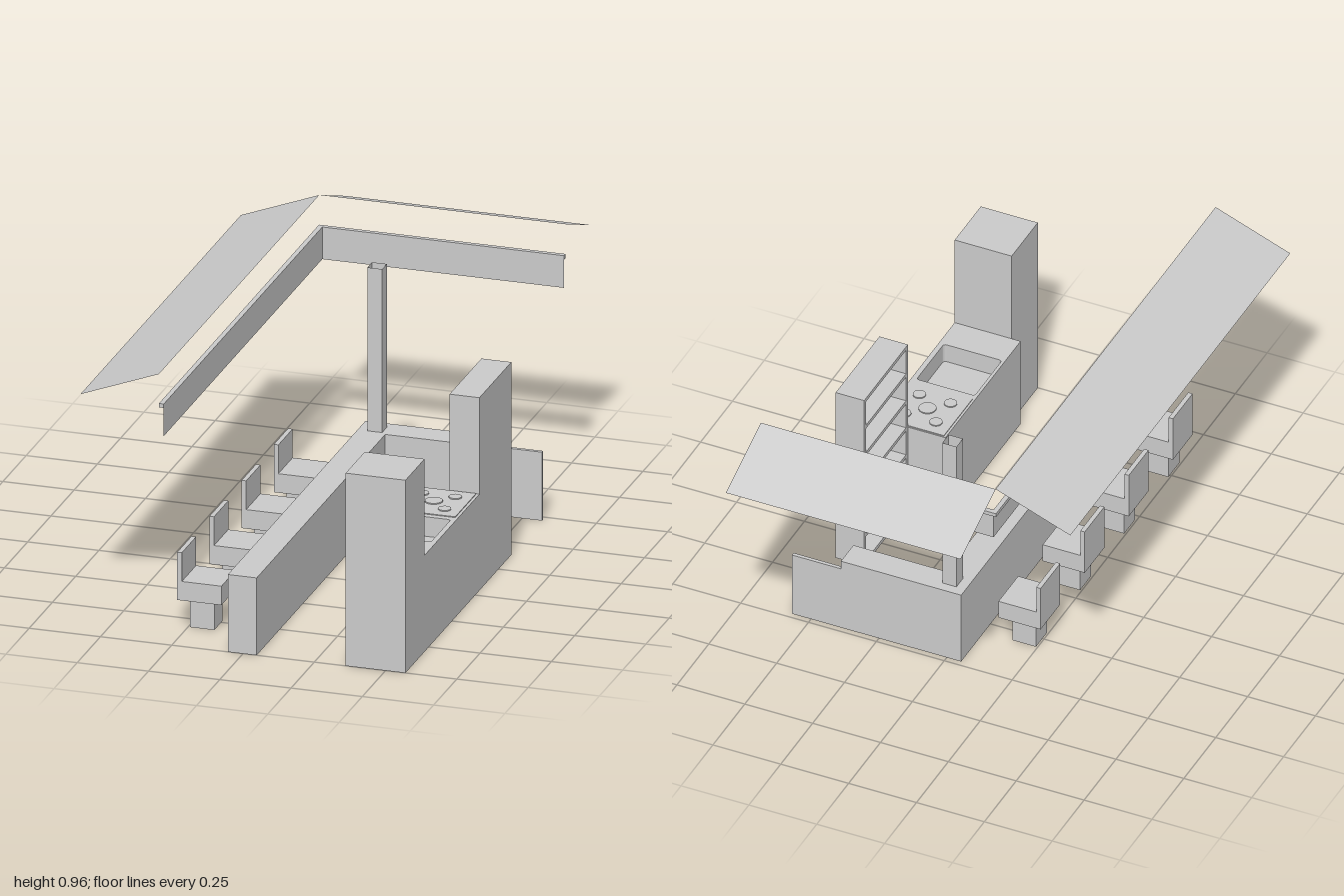
import * as THREE from 'three';

const grey = new THREE.MeshStandardMaterial({ color: 0xcccccc, flatShading: true });
const sheet = new THREE.MeshStandardMaterial({ color: 0xcccccc, flatShading: true, side: THREE.DoubleSide });

// Box given by its low and high limits on each axis
function box(parent, name, [x0, x1], [y0, y1], [z0, z1]) {
  const m = new THREE.Mesh(new THREE.BoxGeometry(x1 - x0, y1 - y0, z1 - z0), grey);
  m.position.set((x0 + x1) / 2, (y0 + y1) / 2, (z0 + z1) / 2);
  m.name = name;
  parent.add(m);
  return m;
}

// Square tube without end caps
function openTube(parent, name, x, z, w, d, y0, y1) {
  const g = new THREE.CylinderGeometry(Math.SQRT1_2, Math.SQRT1_2, y1 - y0, 4, 1, true);
  g.rotateY(Math.PI / 4).scale(w, 1, d);
  const m = new THREE.Mesh(g, sheet);
  m.position.set(x, (y0 + y1) / 2, z);
  m.name = name;
  parent.add(m);
}

// Thin four-cornered panel
function quad(parent, name, a, b, c, d) {
  const g = new THREE.BufferGeometry();
  g.setAttribute('position', new THREE.Float32BufferAttribute([...a, ...b, ...c, ...d], 3));
  g.setIndex([0, 1, 2, 0, 2, 3]);
  g.computeVertexNormals();
  const m = new THREE.Mesh(g, sheet);
  m.name = name;
  parent.add(m);
}

function roundedRect(path, x0, x1, y0, y1, r) {
  path.moveTo(x0 + r, y0);
  path.lineTo(x1 - r, y0).quadraticCurveTo(x1, y0, x1, y0 + r);
  path.lineTo(x1, y1 - r).quadraticCurveTo(x1, y1, x1 - r, y1);
  path.lineTo(x0 + r, y1).quadraticCurveTo(x0, y1, x0, y1 - r);
  path.lineTo(x0, y0 + r).quadraticCurveTo(x0, y0, x0 + r, y0);
  return path;
}

function addCanopy(root) {
  const canopy = new THREE.Group();
  canopy.name = 'canopy';
  root.add(canopy);
  const lo = 0.86, hi = 0.965;
  // Sloping roof panels, lower on the outside
  quad(canopy, 'sideRoof', [-0.57, lo, -0.725], [-0.57, lo, 1], [-0.295, hi, 1], [-0.295, hi, -0.725]);
  quad(canopy, 'backRoof', [-0.295, lo, -1], [-0.295, hi, -0.725], [0.57, hi, -0.725], [0.57, lo, -1]);
  // Fascia sheets with a narrow outer lip along the top
  quad(canopy, 'sideFascia', [-0.278, 0.745, 1], [-0.278, 0.745, -0.705], [-0.278, lo, -0.705], [-0.278, lo, 1]);
  quad(canopy, 'backFascia', [-0.278, 0.745, -0.705], [0.57, 0.745, -0.705], [0.57, lo, -0.705], [-0.278, lo, -0.705]);
  box(canopy, 'sideLip', [-0.295, -0.278], [0.846, lo], [-0.722, 1]);
  box(canopy, 'backLip', [-0.278, 0.57], [0.846, lo], [-0.722, -0.705]);
}

function addBar(root) {
  const bar = new THREE.Group();
  bar.name = 'bar';
  root.add(bar);
  box(bar, 'barCounter', [-0.053, 0.048], [0, 0.277], [-0.48, 1]);
  box(bar, 'barReturn', [0.048, 0.39], [0, 0.277], [-0.48, -0.382]);
  box(bar, 'gate', [0.39, 0.57], [0, 0.245], [-0.48, -0.467]);
  openTube(bar, 'post', 0.007, -0.42, 0.052, 0.05, 0.277, 0.862);
}

function addStool(root, z) {
  const stool = new THREE.Group();
  stool.name = 'stool';
  stool.position.z = z;
  root.add(stool);
  openTube(stool, 'stoolBase', -0.201, 0, 0.086, 0.086, 0, 0.106);
  box(stool, 'stoolSeat', [-0.277, -0.122], [0.106, 0.174], [-0.077, 0.077]);
  box(stool, 'stoolBack', [-0.277, -0.261], [0.174, 0.277], [-0.077, 0.077]);
}

function addKitchen(root) {
  const kitchen = new THREE.Group();
  kitchen.name = 'kitchen';
  root.add(kitchen);
  box(kitchen, 'tallCabinet', [0.36, 0.57], [0, 0.69], [0.795, 1]);
  box(kitchen, 'worktopBase', [0.327, 0.57], [0, 0.275], [0.205, 0.795]);

  // Worktop with a rounded sink opening (shape y is -z)
  const top = new THREE.Shape([[0.327, -0.795], [0.57, -0.795], [0.57, -0.205], [0.327, -0.205]]
    .map(([x, y]) => new THREE.Vector2(x, y)));
  top.holes.push(roundedRect(new THREE.Path(), 0.338, 0.552, -0.672, -0.458, 0.012));
  const g = new THREE.ExtrudeGeometry(top, { depth: 0.07, bevelEnabled: false, curveSegments: 4 });
  const worktop = new THREE.Mesh(g.rotateX(-Math.PI / 2), grey);
  worktop.position.y = 0.275;
  worktop.name = 'worktop';
  kitchen.add(worktop);

  // Hob with five burners
  box(kitchen, 'hob', [0.335, 0.56], [0.335, 0.348], [0.21, 0.435]);
  const burners = [[0.39, 0.265, 0.022], [0.505, 0.265, 0.022], [0.39, 0.38, 0.022], [0.505, 0.38, 0.022], [0.448, 0.322, 0.03]];
  for (const [x, z, r] of burners) {
    const b = new THREE.Mesh(new THREE.CylinderGeometry(r, r, 0.004, 20), grey);
    b.position.set(x, 0.35, z);
    b.name = 'burner';
    kitchen.add(b);
  }

  // Open shelving that faces the bar
  const shelf = new THREE.Group();
  shelf.name = 'shelving';
  kitchen.add(shelf);
  const t = 0.014, x = [0.465, 0.57], z0 = -0.138, z1 = 0.205;
  box(shelf, 'shelfBack', [0.57 - t, 0.57], [0, 0.69], [z0, z1]);
  box(shelf, 'shelfSide', x, [0, 0.69], [z0, z0 + t]);
  box(shelf, 'shelfSide', x, [0, 0.69], [z1 - t, z1]);
  for (let i = 0; i <= 6; i++) {
    const y = i * (0.69 - t) / 6;
    box(shelf, 'shelfBoard', [0.465, 0.57 - t], [y, y + t], [z0 + t, z1 - t]);
  }
}

export function createModel() {
  const root = new THREE.Group();
  root.name = 'barKitchen';
  addCanopy(root);
  addBar(root);
  for (let i = 0; i < 4; i++) addStool(root, -0.257 + i * 0.346);
  addKitchen(root);
  return root;
}
